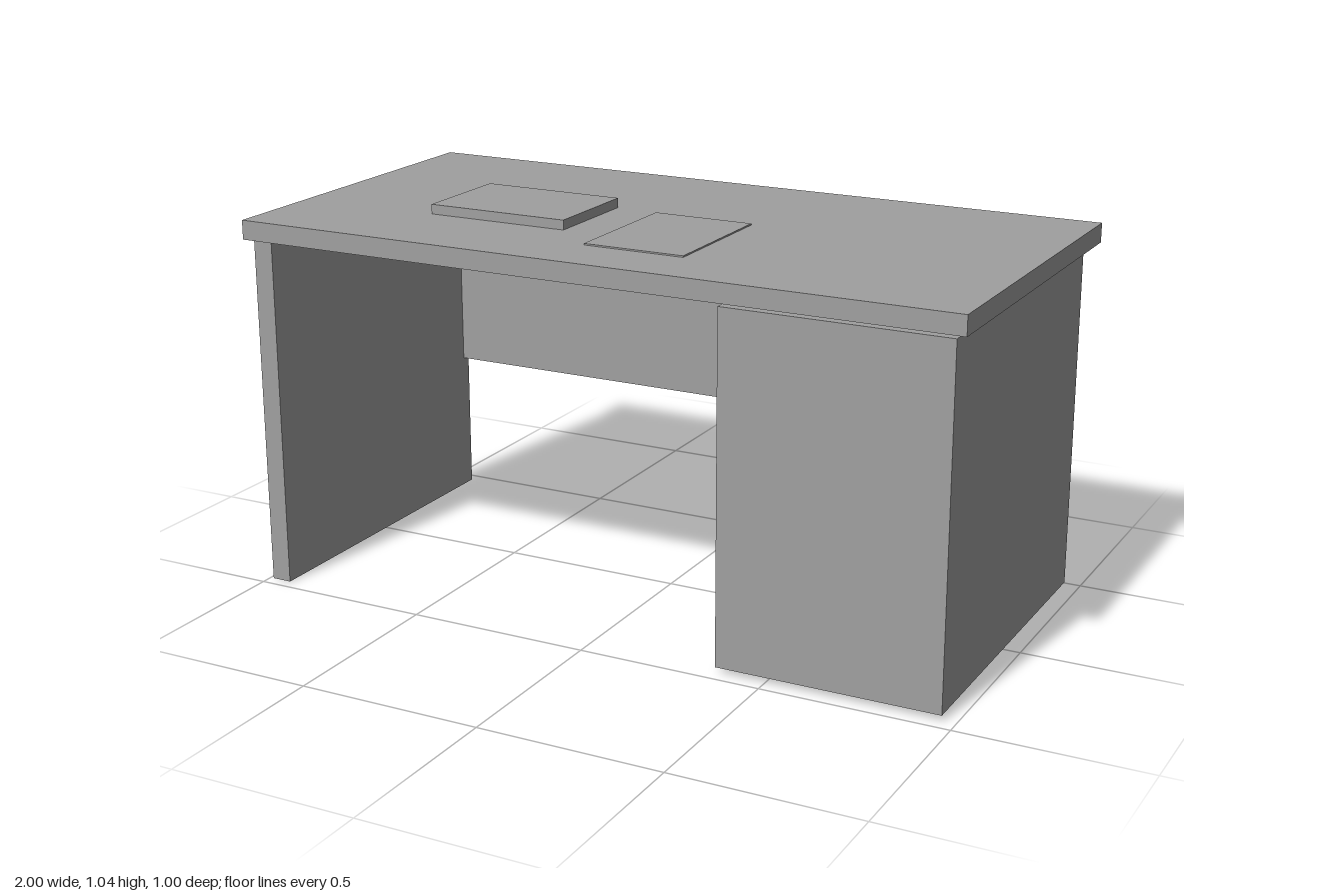
import * as THREE from 'three';

const grey = new THREE.MeshStandardMaterial({ color: 0xa0a0a0 });
grey.name = 'grey';

// Box given by its extents along each axis
function slab(name, [x0, x1], [y0, y1], [z0, z1]) {
  const mesh = new THREE.Mesh(new THREE.BoxGeometry(x1 - x0, y1 - y0, z1 - z0), grey);
  mesh.position.set((x0 + x1) / 2, (y0 + y1) / 2, (z0 + z1) / 2);
  mesh.name = name;
  return mesh;
}

export function createModel() {
  const desk = new THREE.Group();
  desk.name = 'desk';
  const depth = [-0.467, 0.467];
  desk.add(
    // Worktop and its supports
    slab('worktop', [-1, 1], [0.963, 1.015], [-0.5, 0.5]),
    slab('sideLeg', [-0.99, -0.935], [0, 0.963], depth),
    slab('pedestal', [0.365, 0.965], [0.016, 0.946], depth),
    // Panel closing the back of the knee space
    slab('backPanel', [-0.935, 0.365], [0.4, 0.936], [-0.467, -0.441]),
    // Items lying on the worktop
    slab('book', [-0.6, -0.2], [1.015, 1.041], [-0.08, 0.212]),
    slab('paperSheet', [-0.075, 0.203], [1.015, 1.019], [-0.06, 0.327]),
  );
  return desk;
}
